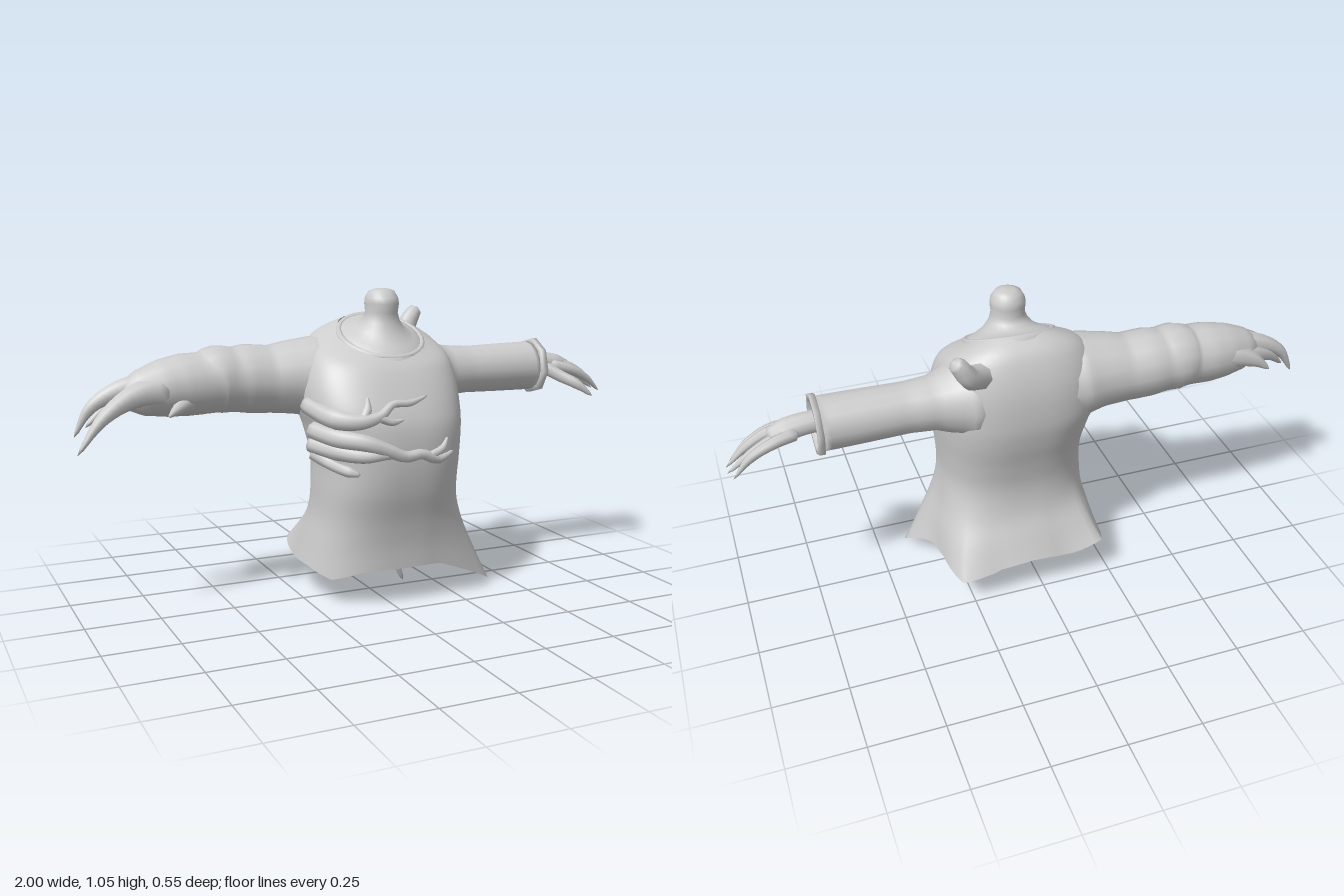
import * as THREE from 'three';
import { mergeVertices } from 'three/addons/utils/BufferGeometryUtils.js';

const clay = new THREE.MeshStandardMaterial({ color: 0xcccccc, side: THREE.DoubleSide });
clay.name = 'clay grey';

// Weld seams and give smooth normals
function smooth(geo) {
  geo.deleteAttribute('uv');
  geo.deleteAttribute('normal');
  const g = mergeVertices(geo, 1e-5);
  g.computeVertexNormals();
  return g;
}

function add(parent, name, geo) {
  const mesh = new THREE.Mesh(geo, clay);
  mesh.name = name;
  parent.add(mesh);
  return mesh;
}

// Tapered tube through points [x, y, z, radius]
function limb(points, radial = 8, segs = 20) {
  const curve = new THREE.CatmullRomCurve3(points.map(p => new THREE.Vector3(p[0], p[1], p[2])));
  const geo = new THREE.TubeGeometry(curve, segs, 1, radial);
  const pos = geo.attributes.position, v = new THREE.Vector3();
  for (let i = 0; i <= segs; i++) {
    const u = i / segs, c = curve.getPointAt(u);
    const t = curve.getUtoTmapping(u) * (points.length - 1);
    const k = Math.min(Math.floor(t), points.length - 2);
    let r = THREE.MathUtils.lerp(points[k][3], points[k + 1][3], t - k);
    if (i === 0 || i === segs) r = 0;
    for (let j = 0; j <= radial; j++) {
      const n = i * (radial + 1) + j;
      v.fromBufferAttribute(pos, n).sub(c).multiplyScalar(r).add(c);
      pos.setXYZ(n, v.x, v.y, v.z);
    }
  }
  return smooth(geo);
}

// Robe sections: y, xMin, xMax, zBack, zFront, tilt
const SECTIONS = [
  [0.905, -0.10, 0.18, -0.13, 0.13, 0.46],
  [0.86, -0.195, 0.265, -0.19, 0.165, 0.32],
  [0.78, -0.24, 0.298, -0.23, 0.20, 0.15],
  [0.68, -0.25, 0.302, -0.238, 0.24, 0.05],
  [0.60, -0.225, 0.298, -0.225, 0.257, 0],
  [0.50, -0.205, 0.288, -0.20, 0.257, 0],
  [0.40, -0.205, 0.283, -0.185, 0.243, 0],
  [0.30, -0.21, 0.297, -0.197, 0.217, 0],
  [0.21, -0.23, 0.32, -0.235, 0.202, 0],
  [0.13, -0.25, 0.335, -0.27, 0.198, 0],
];

function robeGeometry() {
  const rows = 45, cols = 64, pos = [], idx = [];
  const bump = (t, t0, w) => {
    const d = Math.atan2(Math.sin(t - t0), Math.cos(t - t0));
    return Math.max(0, 1 - Math.abs(d) / w);
  };
  const soft = c => Math.sign(c) * Math.pow(Math.abs(c), 0.76);
  const lanes = [0, 1, 2, 3, 4, 5].map(c =>
    new THREE.SplineCurve(SECTIONS.map((s, i) => new THREE.Vector2(i, s[c]))));
  for (let i = 0; i <= rows; i++) {
    const [y, x0, x1, z0, z1, tilt] = lanes.map(l => l.getPoint(i / rows).y);
    const flare = Math.pow(Math.max(0, (0.37 - y) / 0.24), 1.6);
    for (let j = 0; j < cols; j++) {
      const t = j / cols * Math.PI * 2;
      const corner = bump(t, 0.59, 0.62);   // long hanging front corner
      const backL = bump(t, 5.5, 0.5);      // smaller corners of the hem
      const backR = bump(t, 3.93, 0.5);
      const frontR = bump(t, 2.45, 0.5);
      const x = (x0 + x1) / 2 + (x1 - x0) / 2 * soft(Math.cos(t))
        + flare * (corner * 0.11 + backL * 0.025 - backR * 0.03);
      const z = (z0 + z1) / 2 + (z1 - z0) / 2 * soft(Math.sin(t))
        + flare * (corner * 0.015 - backL * 0.04 - backR * 0.04);
      const drop = corner * 0.1 + backL * 0.025 - backR * 0.03 + frontR * 0.03 - bump(t, 4.7, 0.4) * 0.02;
      pos.push(x, y - tilt * z - flare * drop, z);
    }
  }
  for (let i = 0; i < rows; i++) for (let j = 0; j < cols; j++) {
    const a = i * cols + j, b = i * cols + (j + 1) % cols, c = a + cols, d = b + cols;
    idx.push(a, b, c, b, d, c);
  }
  const g = new THREE.BufferGeometry();
  g.setAttribute('position', new THREE.Float32BufferAttribute(pos, 3));
  g.setIndex(idx);
  g.computeVertexNormals();
  return g;
}

// Neck stump: rings of centre z, half width, half depth; the base follows the tilted collar
function neckGeometry() {
  const profile = [[0.15, 0.888], [0.142, 0.905], [0.115, 0.914], [0.085, 0.93], [0.064, 0.955], [0.055, 0.98],
    [0.058, 1.01], [0.056, 1.03], [0.044, 1.052], [0.025, 1.059], [0, 1.06]].map(p => new THREE.Vector2(...p));
  const geo = new THREE.LatheGeometry(profile, 24);
  const p = geo.attributes.position;
  for (let i = 0; i < p.count; i++) {
    const y = p.getY(i), z = p.getZ(i);
    const base = THREE.MathUtils.clamp((0.975 - y) / 0.07, 0, 1);
    const knob = THREE.MathUtils.clamp(1 - Math.abs(y - 1.005) / 0.045, 0, 1);
    const front = z > 0 ? 1 + 0.2 * knob : 1;
    p.setXYZ(i, p.getX(i) + 0.04, y - 0.46 * z * base, z * front + 0.008 * (1 - base));
  }
  return smooth(geo);
}

export function createModel() {
  const model = new THREE.Group();
  model.name = 'robedFigure';
  const robe = add(model, 'robe', robeGeometry());
  add(model, 'neck', neckGeometry());
  const collar = add(model, 'collar', new THREE.TorusGeometry(0.144, 0.012, 8, 28).rotateX(Math.PI / 2 + 0.43));
  collar.position.set(0.04, 0.897, 0);

  // Right arm: loose wrinkled sleeve opening into long claws
  const rightArm = new THREE.Group();
  rightArm.name = 'rightArm';
  model.add(rightArm);
  add(rightArm, 'rightSleeve', limb([
    [-0.05, 0.75, -0.09, 0.12], [-0.17, 0.76, -0.088, 0.142], [-0.24, 0.763, -0.092, 0.128], [-0.33, 0.76, -0.1, 0.115],
    [-0.41, 0.765, -0.105, 0.116], [-0.46, 0.765, -0.105, 0.109], [-0.51, 0.768, -0.105, 0.114], [-0.56, 0.76, -0.1, 0.103],
    [-0.63, 0.757, -0.1, 0.103], [-0.70, 0.75, -0.095, 0.094], [-0.78, 0.738, -0.09, 0.072], [-0.84, 0.725, -0.09, 0.03],
  ], 14, 48));
  [
    [[-0.68, 0.75, -0.055, 0.055], [-0.80, 0.74, -0.035, 0.04], [-0.91, 0.68, -0.002, 0.023], [-1, 0.575, 0.028, 0.004]],
    [[-0.72, 0.765, -0.09, 0.05], [-0.84, 0.75, -0.095, 0.034], [-0.93, 0.70, -0.1, 0.02], [-0.985, 0.61, -0.1, 0.004]],
    [[-0.70, 0.75, -0.13, 0.05], [-0.79, 0.735, -0.125, 0.036], [-0.88, 0.70, -0.108, 0.02], [-0.95, 0.64, -0.09, 0.004]],
    [[-0.64, 0.765, -0.135, 0.055], [-0.72, 0.755, -0.15, 0.043], [-0.79, 0.73, -0.165, 0.026], [-0.845, 0.69, -0.18, 0.004]],
    [[-0.62, 0.71, -0.045, 0.03], [-0.67, 0.695, 0.0, 0.02], [-0.715, 0.68, 0.05, 0.004]],
  ].forEach((p, i) => add(rightArm, 'rightClaw' + (i + 1), limb(p, 8, 16)));

  // Left arm: straight sleeve, octagonal cuff and spread hand
  const leftArm = new THREE.Group();
  leftArm.name = 'leftArm';
  model.add(leftArm);
  add(leftArm, 'leftSleeve', limb([
    [0.12, 0.745, -0.075, 0.13], [0.22, 0.75, -0.08, 0.138], [0.27, 0.75, -0.085, 0.115], [0.33, 0.752, -0.09, 0.092],
    [0.42, 0.752, -0.09, 0.085], [0.56, 0.752, -0.09, 0.088], [0.705, 0.752, -0.09, 0.09],
  ], 16, 36));
  const cuff = add(leftArm, 'cuff', new THREE.LatheGeometry(
    [[0.082, -0.01], [0.103, -0.01], [0.103, 0.01], [0.082, 0.01], [0.08, -0.01]]
      .map(p => new THREE.Vector2(...p)), 8).rotateZ(-Math.PI / 2).rotateX(0.12));
  cuff.position.set(0.705, 0.752, -0.09);
  add(leftArm, 'leftPalm', limb([
    [0.68, 0.765, -0.09, 0.036], [0.75, 0.762, -0.09, 0.038], [0.80, 0.752, -0.09, 0.04], [0.86, 0.735, -0.09, 0.026]], 10, 16));
  [-0.142, -0.108, -0.075, -0.045].forEach((z, i) => add(leftArm, 'leftFinger' + (i + 1), limb([
    [0.76, 0.755, -0.09 + (z + 0.09) * 0.6, 0.022], [0.85, 0.745 - (i % 2) * 0.012, z, 0.019],
    [0.92, 0.71 - (i % 2) * 0.012, z * 1.02, 0.015], [i === 0 || i === 3 ? 0.98 : 0.995, 0.645, z * 1.03, 0.003]], 7, 14)));
  add(leftArm, 'leftThumb', limb([
    [0.74, 0.75, -0.075, 0.025], [0.79, 0.715, -0.03, 0.022], [0.84, 0.685, 0.015, 0.019], [0.89, 0.642, 0.042, 0.004]], 7, 14));

  // Bent horn growing from the back of the left shoulder
  add(model, 'shoulderHorn', limb([
    [0.14, 0.85, -0.12, 0.055], [0.2, 0.872, -0.175, 0.044], [0.24, 0.9, -0.212, 0.036],
    [0.27, 0.945, -0.22, 0.03], [0.295, 0.972, -0.222, 0.02]], 8, 20));

  // Root-like fingers wrapped over the chest, laid on the robe surface
  const roots = new THREE.Group();
  roots.name = 'chestRoots';
  model.add(roots);
  robe.updateMatrixWorld(true);
  const ray = new THREE.Raycaster();
  const onRobe = ([x, y, r]) => {
    ray.set(new THREE.Vector3(x, y, 1), new THREE.Vector3(0, 0, -1));
    const hit = ray.intersectObject(robe)[0];
    return [x, y, hit ? hit.point.z + r * 0.25 : 0.06, r];
  };
  [
    [[-0.25, 0.69, 0.03], [-0.2, 0.655, 0.034], [-0.13, 0.65, 0.026], [-0.07, 0.665, 0.017], [-0.02, 0.7, 0.013], [0.04, 0.7, 0.012], [0.115, 0.72, 0.004]],
    [[-0.13, 0.65, 0.018], [-0.11, 0.685, 0.016], [-0.1, 0.725, 0.004]],
    [[-0.07, 0.66, 0.015], [-0.03, 0.645, 0.012], [0.01, 0.65, 0.004]],
    [[-0.25, 0.61, 0.03], [-0.19, 0.59, 0.032], [-0.12, 0.58, 0.028], [-0.05, 0.555, 0.022], [0.01, 0.53, 0.02], [0.07, 0.535, 0.018], [0.13, 0.51, 0.016], [0.21, 0.53, 0.006]],
    [[0.1, 0.525, 0.014], [0.15, 0.545, 0.013], [0.175, 0.58, 0.004]],
    [[-0.25, 0.56, 0.028], [-0.19, 0.545, 0.03], [-0.12, 0.535, 0.022], [-0.05, 0.54, 0.016], [0.0, 0.53, 0.008]],
    [[-0.24, 0.53, 0.024], [-0.2, 0.5, 0.022], [-0.16, 0.48, 0.018], [-0.13, 0.472, 0.006]],
  ].forEach((p, i) => add(roots, 'chestRoot' + (i + 1), limb(p.map(onRobe), 8, 28)));

  // Rounded underside inside the skirt with hanging forked roots
  const under = add(model, 'underBody', new THREE.SphereGeometry(1, 24, 14));
  under.scale.set(0.17, 0.12, 0.12);
  under.position.set(0.04, 0.3, -0.04);
  [
    [[0.08, 0.22, -0.02, 0.02], [0.1, 0.13, -0.03, 0.015], [0.12, 0.075, -0.03, 0.013], [0.15, 0.005, -0.038, 0.006]],
    [[0.1, 0.15, -0.03, 0.012], [0.13, 0.12, -0.05, 0.009], [0.15, 0.095, -0.06, 0.003]],
    [[-0.04, 0.22, -0.06, 0.02], [-0.035, 0.14, -0.075, 0.015], [-0.02, 0.075, -0.085, 0.006]],
    [[-0.035, 0.16, -0.07, 0.013], [-0.06, 0.125, -0.08, 0.01], [-0.075, 0.085, -0.085, 0.003]],
  ].forEach((p, i) => add(model, 'hangingRoot' + (i + 1), limb(p, 7, 14)));

  return model;
}
